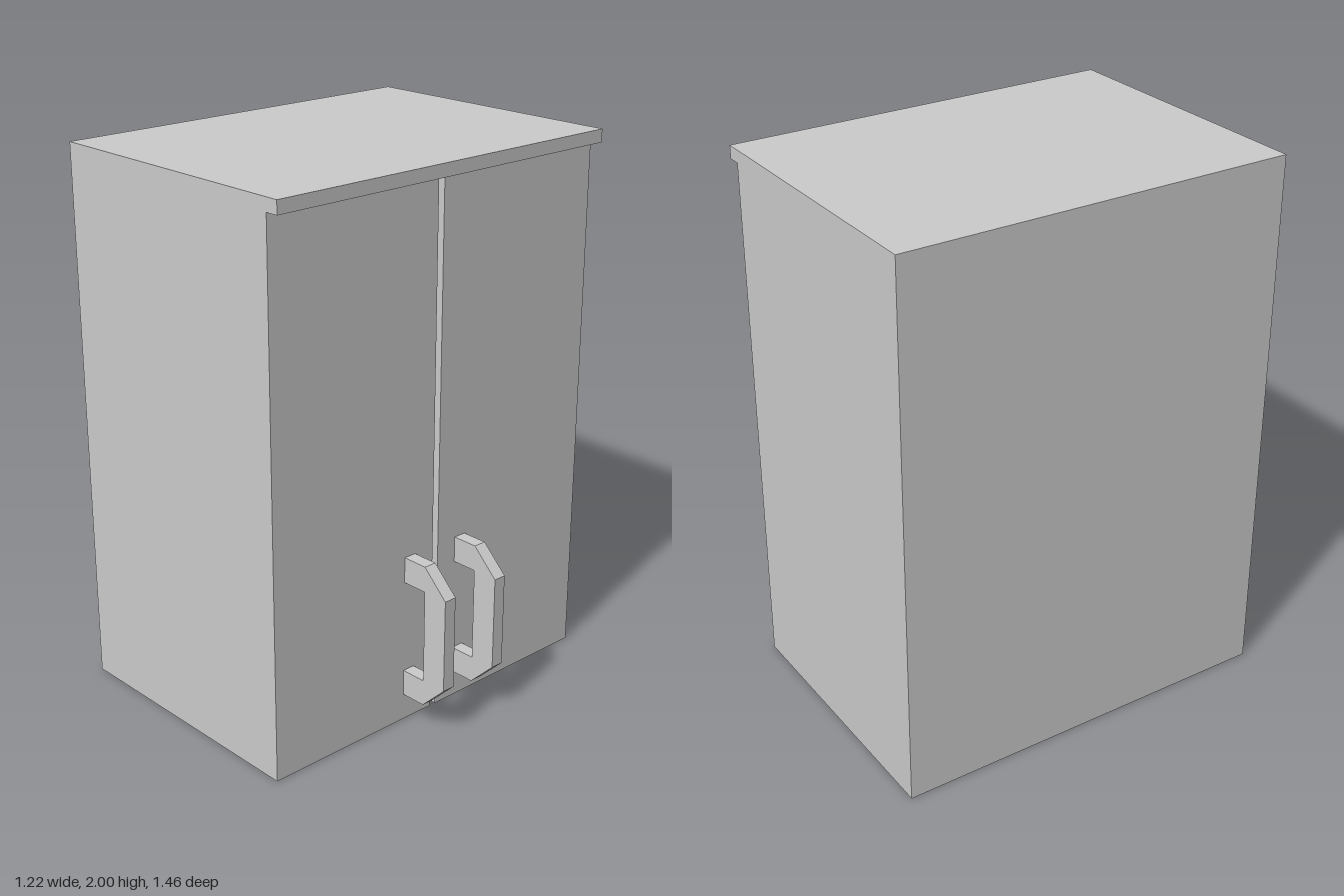
import * as THREE from 'three';

const material = new THREE.MeshStandardMaterial({ color: 0xcccccc, flatShading: true });

// Box given by its minimum and maximum corners
function box(name, [x0, y0, z0], [x1, y1, z1]) {
  const mesh = new THREE.Mesh(new THREE.BoxGeometry(x1 - x0, y1 - y0, z1 - z0), material);
  mesh.position.set((x0 + x1) / 2, (y0 + y1) / 2, (z0 + z1) / 2);
  mesh.name = name;
  return mesh;
}

export function createModel() {
  const group = new THREE.Group();
  group.name = 'cabinet';

  const back = -0.608, bodyFront = 0.361, doorFront = 0.411, topFront = 0.46;
  const halfWidth = 0.732, topY = 1.953, gap = 0.013;

  // Carcass and overhanging top board
  group.add(box('body', [back, 0, -halfWidth], [bodyFront, topY, halfWidth]));
  group.add(box('topBoard', [back, topY, -halfWidth], [topFront, 2, halfWidth]));

  // Bracket-shaped pull with chamfered outer corners
  const profile = new THREE.Shape([
    [doorFront, 0.1], [0.509, 0.1], [0.608, 0.196], [0.608, 0.541],
    [0.509, 0.636], [doorFront, 0.636], [doorFront, 0.541],
    [0.509, 0.541], [0.509, 0.196], [doorFront, 0.196],
  ].map(([x, y]) => new THREE.Vector2(x, y)));
  const thickness = 0.049;
  const handleGeometry = new THREE.ExtrudeGeometry(profile, { depth: thickness, bevelEnabled: false });
  handleGeometry.translate(0, 0, -thickness / 2);

  // Two doors with a narrow gap between them, each with a handle
  for (const [side, s] of [['right', 1], ['left', -1]]) {
    const z = [s * gap, s * halfWidth].sort((a, b) => a - b);
    group.add(box(side + 'Door', [bodyFront, 0, z[0]], [doorFront, topY, z[1]]));

    const handle = new THREE.Mesh(handleGeometry, material);
    handle.name = side + 'Handle';
    handle.position.z = s * 0.122;
    group.add(handle);
  }

  return group;
}
